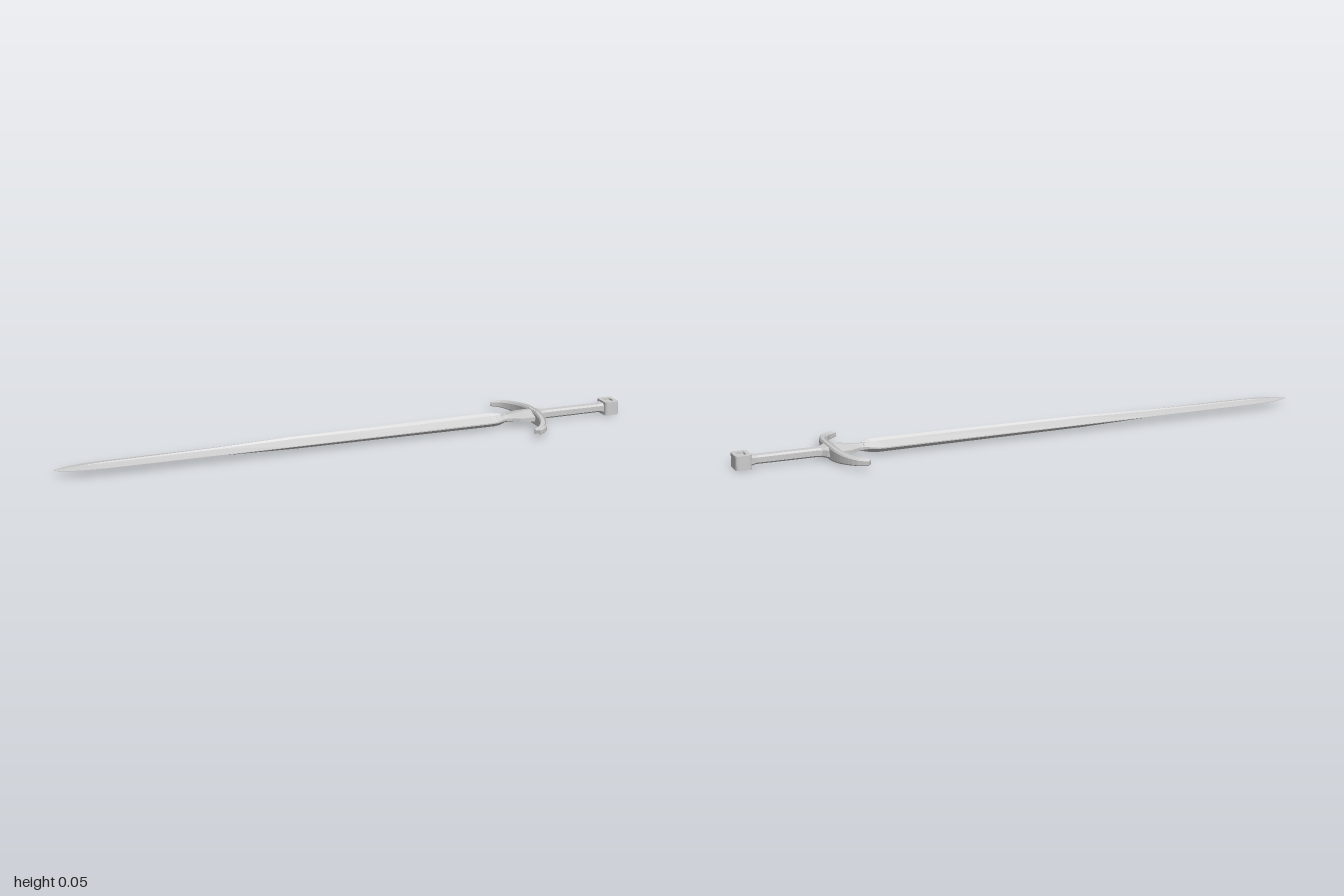
import * as THREE from 'three';

const MID = 0.0235; // height of the sword's centre plane
const material = new THREE.MeshStandardMaterial({ color: 0xcccccc, flatShading: true, side: THREE.DoubleSide });

// Skin a row of closed rings and cap both ends
function loft(name, rings) {
  const n = rings[0].length, pos = [];
  const tri = (...pts) => pts.forEach((p) => pos.push(p.x, p.y, p.z));
  for (let i = 0; i < rings.length - 1; i++) {
    for (let j = 0; j < n; j++) {
      const k = (j + 1) % n;
      const [a, b, c, d] = [rings[i][j], rings[i][k], rings[i + 1][k], rings[i + 1][j]];
      tri(a, b, c);
      tri(a, c, d);
    }
  }
  [rings[0], rings[rings.length - 1]].forEach((ring, end) => {
    const centre = ring.reduce((s, p) => s.add(p), new THREE.Vector3()).divideScalar(n);
    ring.forEach((p, j) => {
      const q = ring[(j + 1) % n];
      if (end) tri(centre, p, q);
      else tri(centre, q, p);
    });
  });
  const geometry = new THREE.BufferGeometry();
  geometry.setAttribute('position', new THREE.Float32BufferAttribute(pos, 3));
  geometry.computeVertexNormals();
  const mesh = new THREE.Mesh(geometry, material);
  mesh.name = name;
  return mesh;
}

// Complete an upper outline (side, height) with its mirror image below
const mirrored = (upper) => [...upper, ...upper.map(([r, y]) => [-r, -y])];
// Place a section across the x axis
const across = (x, section) => section.map(([r, y]) => new THREE.Vector3(x, MID + y, -r));

// Bevelled section with a fuller: half width, edge, fuller half width, ridge height, groove height
const bladeSection = (w, e, f, h, g) =>
  mirrored([[w, e], [f, h], [f * 0.4, g], [-f * 0.4, g], [-f, h], [-w, e]]);

// Eight-sided section with chamfered corners
const octagon = (w, h, c = 0.4) =>
  mirrored([[w, h * (1 - c)], [w * (1 - c), h], [-w * (1 - c), h], [-w, h * (1 - c)]]);

function rectWithRoundCorners(path, x0, x1, z, r) {
  path.moveTo(x0 + r, -z);
  path.lineTo(x1 - r, -z);
  path.quadraticCurveTo(x1, -z, x1, -z + r);
  path.lineTo(x1, z - r);
  path.quadraticCurveTo(x1, z, x1 - r, z);
  path.lineTo(x0 + r, z);
  path.quadraticCurveTo(x0, z, x0, z - r);
  path.lineTo(x0, -z + r);
  path.quadraticCurveTo(x0, -z, x0 + r, -z);
  return path;
}

// Extrude a plan shape upward, centred on the middle plane
function slab(name, shape, height) {
  const geometry = new THREE.ExtrudeGeometry(shape, { depth: height, bevelEnabled: false, curveSegments: 5 });
  geometry.translate(0, 0, -height / 2).rotateX(-Math.PI / 2).translate(0, MID, 0);
  const mesh = new THREE.Mesh(geometry, material);
  mesh.name = name;
  return mesh;
}

function createBlade() {
  // x, half width, edge, fuller half width, ridge height, groove height
  const stations = [
    [-1, 0.001, 0.0004, 0.0004, 0.0005, 0.0005],
    [-0.985, 0.013, 0.0006, 0.002, 0.002, 0.002],
    [-0.95, 0.026, 0.0008, 0.003, 0.004, 0.004],
    [-0.9, 0.036, 0.001, 0.004, 0.006, 0.005],
    [-0.84, 0.04, 0.001, 0.006, 0.008, 0.005],
    [-0.65, 0.042, 0.001, 0.008, 0.009, 0.005],
    [-0.45, 0.043, 0.001, 0.01, 0.011, 0.005],
    [-0.2, 0.044, 0.001, 0.013, 0.017, 0.007],
    [0.5, 0.045, 0.002, 0.018, 0.019, 0.008],
    [0.53, 0.042, 0.002, 0.018, 0.019, 0.008],
    [0.55, 0.032, 0.003, 0.016, 0.017, 0.009],
    [0.57, 0.021, 0.004, 0.01, 0.013, 0.012],
  ];
  return loft('blade', stations.map(([x, ...s]) => across(x, bladeSection(...s))));
}

function createBladeCollar() {
  // Waisted block that flares into the guard: x, half width, edge, spine height
  const stations = [
    [0.565, 0.021, 0.004, 0.013],
    [0.59, 0.027, 0.005, 0.012],
    [0.615, 0.043, 0.006, 0.015],
    [0.635, 0.05, 0.007, 0.018],
    [0.68, 0.05, 0.008, 0.021],
  ];
  return loft('bladeCollar', stations.map(([x, w, e, h]) =>
    across(x, mirrored([[w, e], [0.006, h], [-0.006, h], [-w, e]]))));
}

function createGuard() {
  // Bow curving toward the blade, thinner at its ends, with a channel above and below
  const half = [[0.609, 0.183], [0.637, 0.163], [0.659, 0.13], [0.674, 0.088], [0.681, 0.04]];
  const points = [...half, [0.682, 0], ...half.map(([x, z]) => [x, -z]).reverse()];
  const curve = new THREE.CatmullRomCurve3(points.map(([x, z]) => new THREE.Vector3(x, MID, z)));
  const up = new THREE.Vector3(0, 1, 0);
  const rings = [];
  for (let i = 0; i <= 24; i++) {
    const p = curve.getPointAt(i / 24);
    const right = up.clone().cross(curve.getTangentAt(i / 24)).normalize();
    const out = THREE.MathUtils.clamp((Math.abs(p.z) - 0.035) / 0.15, 0, 1);
    const h = 0.0235 - 0.015 * Math.pow(out, 1.15);
    const w = 0.0125;
    const section = mirrored([
      [w, h * 0.7], [w * 0.7, h], [w * 0.35, h - 0.004], [-w * 0.35, h - 0.004], [-w * 0.7, h], [-w, h * 0.7],
    ]);
    rings.push(section.map(([r, y]) => p.clone().addScaledVector(right, r).addScaledVector(up, y)));
  }
  return loft('guard', rings);
}

function createGrip() {
  // x, half width, half height
  const stations = [
    [0.68, 0.046, 0.02], [0.698, 0.036, 0.018], [0.712, 0.021, 0.015], [0.73, 0.017, 0.0145],
    [0.83, 0.017, 0.0145], [0.928, 0.017, 0.014], [0.945, 0.022, 0.017], [0.962, 0.028, 0.022],
  ];
  return loft('grip', stations.map(([x, w, h]) => across(x, octagon(w, h))));
}

function createPommel() {
  const pommel = new THREE.Group();
  pommel.name = 'pommel';
  // Rounded frame with a sunken panel on both faces
  const frame = rectWithRoundCorners(new THREE.Shape(), 0.947, 1, 0.034, 0.012);
  frame.holes.push(rectWithRoundCorners(new THREE.Path(), 0.96, 0.987, 0.017, 0.004));
  pommel.add(slab('pommelFrame', frame, 0.047));
  pommel.add(slab('pommelPanel', rectWithRoundCorners(new THREE.Shape(), 0.959, 0.988, 0.018, 0.004), 0.036));
  return pommel;
}

export function createModel() {
  const sword = new THREE.Group();
  sword.name = 'sword';
  sword.add(createBlade(), createBladeCollar(), createGuard(), createGrip(), createPommel());
  return sword;
}
